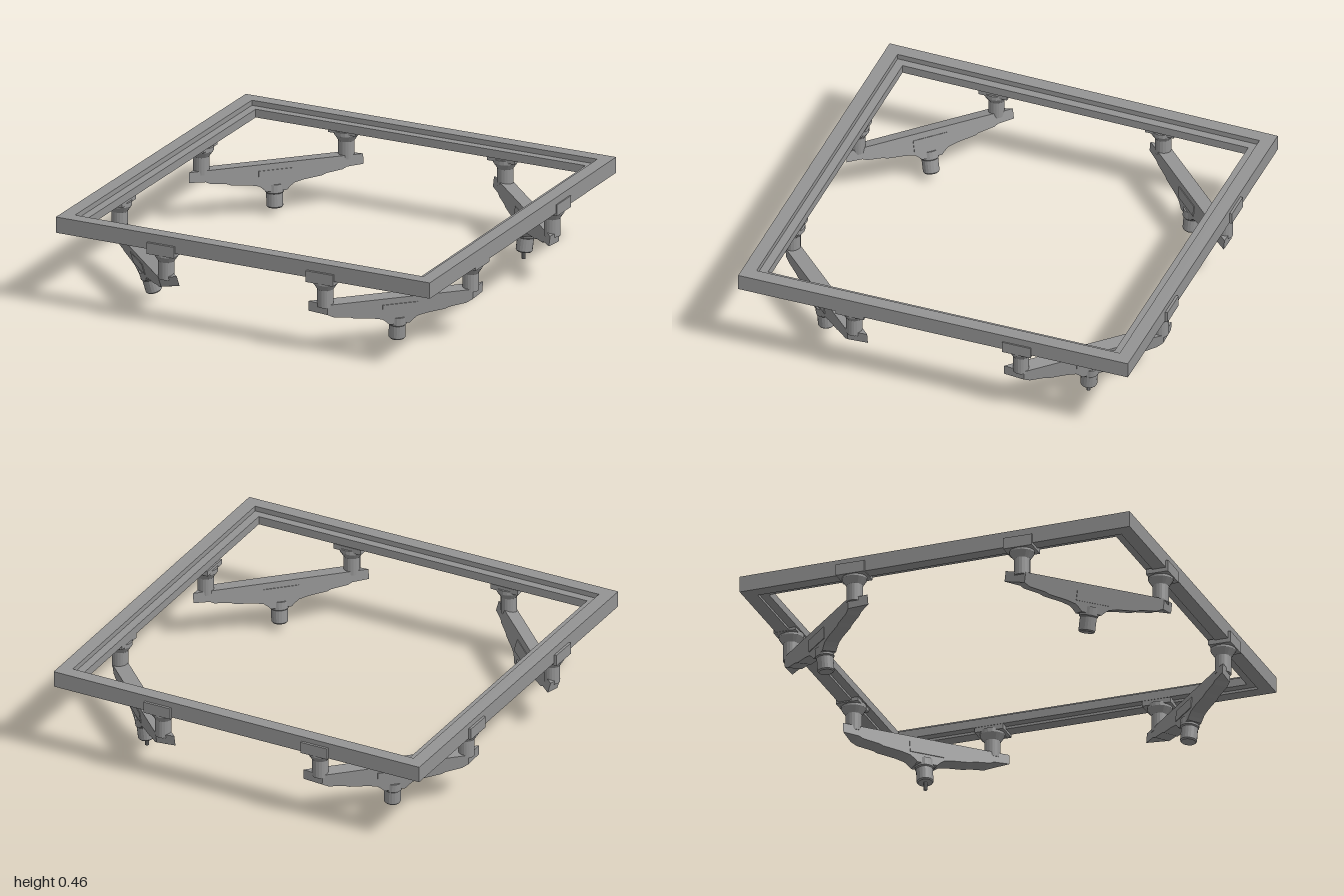
import * as THREE from 'three';

const material = new THREE.MeshStandardMaterial({ color: 0x949494, side: THREE.DoubleSide, flatShading: true });

function add(parent, name, geometry, x = 0, y = 0, z = 0) {
  const mesh = new THREE.Mesh(geometry, material);
  mesh.name = name;
  mesh.position.set(x, y, z);
  parent.add(mesh);
  return mesh;
}

// Square ring between two half-widths, sagging a little towards the back
// and drawn out slightly at the front left corner
function ring(outer, inner, y0, y1) {
  const square = (Kind, h) => new Kind([[-h, -h], [h, -h], [h, h], [-h, h]].map(([x, y]) => new THREE.Vector2(x, y)));
  const shape = square(THREE.Shape, outer);
  shape.holes.push(square(THREE.Path, inner));
  const geometry = new THREE.ExtrudeGeometry(shape, { depth: y1 - y0, bevelEnabled: false });
  geometry.rotateX(-Math.PI / 2).translate(0, y0, 0);
  const p = geometry.attributes.position;
  for (let i = 0; i < p.count; i++) {
    const x = p.getX(i), front = (1 + p.getZ(i)) / 2;
    p.setY(i, p.getY(i) - (1 - front) * (0.017 - 0.006 * x));
    p.setX(i, x + 0.02 * front * (1 + x) / 2);
  }
  geometry.computeVertexNormals();
  return geometry;
}

function lathe(points) {
  return new THREE.LatheGeometry(points.map(([r, y]) => new THREE.Vector2(r, y)), 18);
}

// Corner beam: flat top, stepped belly with a flare, ends mitred parallel to the frame
function beamGeometry() {
  const half = [[0.385, 0.252], [0.385, 0.203], [0.34, 0.198], [0.32, 0.188], [0.24, 0.178],
    [0.22, 0.17], [0.13, 0.16], [0.085, 0.15], [0.065, 0.135], [0.05, 0.12]];
  const outline = [...half, ...half.slice().reverse().map(([x, y]) => [-x, y])];
  const shape = new THREE.Shape(outline.map(([x, y]) => new THREE.Vector2(x, y - 0.23)));
  const geometry = new THREE.ExtrudeGeometry(shape, { depth: 0.07, bevelEnabled: false }).translate(0, 0, -0.035);
  const p = geometry.attributes.position;
  for (let i = 0; i < p.count; i++) {
    const x = p.getX(i);
    if (Math.abs(x) > 0.38) p.setX(i, x - Math.sign(x) * p.getZ(i));
  }
  geometry.computeVertexNormals();
  return geometry;
}

// Beam across one corner with two posts to the frame and a foot below
function cornerBracket(angle, lean, hasPin) {
  const bracket = new THREE.Group();
  bracket.name = 'cornerBracket';
  bracket.rotation.y = angle;
  const reach = 0.93;

  for (const side of [-1, 1]) {
    const mount = new THREE.Group();
    mount.name = 'mount';
    mount.position.set(side * 0.35, 0, reach);
    mount.rotation.y = side * Math.PI / 4;
    bracket.add(mount);
    add(mount, 'post', lathe([[0, 0.235], [0.038, 0.235], [0.038, 0.32], [0.048, 0.335], [0.058, 0.35], [0.058, 0.37], [0, 0.37]]));
    add(mount, 'clampBase', new THREE.BoxGeometry(0.14, 0.025, 0.105), 0, 0.3725, 0.005);
    add(mount, 'clampLip', new THREE.BoxGeometry(0.14, 0.055, 0.012), 0, 0.387, 0.056);
  }

  const swing = new THREE.Group();
  swing.name = 'beamAndFoot';
  swing.position.set(0, 0.23, reach);
  swing.rotation.x = lean;
  bracket.add(swing);
  add(swing, 'beam', beamGeometry());
  add(swing, 'sidePlate', new THREE.BoxGeometry(0.17, 0.055, 0.077), 0, -0.035, 0);
  add(swing, 'foot', lathe([[0, -0.08], [0.044, -0.08], [0.044, -0.12], [0.039, -0.125],
    [0.039, -0.188], [0.034, -0.194], [0, -0.194]]));
  if (hasPin) add(bracket, 'pin', new THREE.CylinderGeometry(0.009, 0.009, 0.05, 10), 0, 0.025, reach - 0.025);
  return bracket;
}

export function createModel() {
  const model = new THREE.Group();
  model.name = 'squareFrame';
  model.rotation.y = -0.042;

  // Stepped frame: raised rim outside, thinner ledge inside
  add(model, 'outerRim', ring(0.955, 0.89, 0.38, 0.457));
  add(model, 'innerLedge', ring(0.89, 0.85, 0.392, 0.432));

  const q = Math.PI / 4;
  model.add(cornerBracket(q, 0.08, false));
  model.add(cornerBracket(-q, 0.28, false));
  model.add(cornerBracket(3 * q, 0.12, true));
  model.add(cornerBracket(-3 * q, 0.08, false));

  const root = new THREE.Group();
  root.add(model);
  return root;
}
